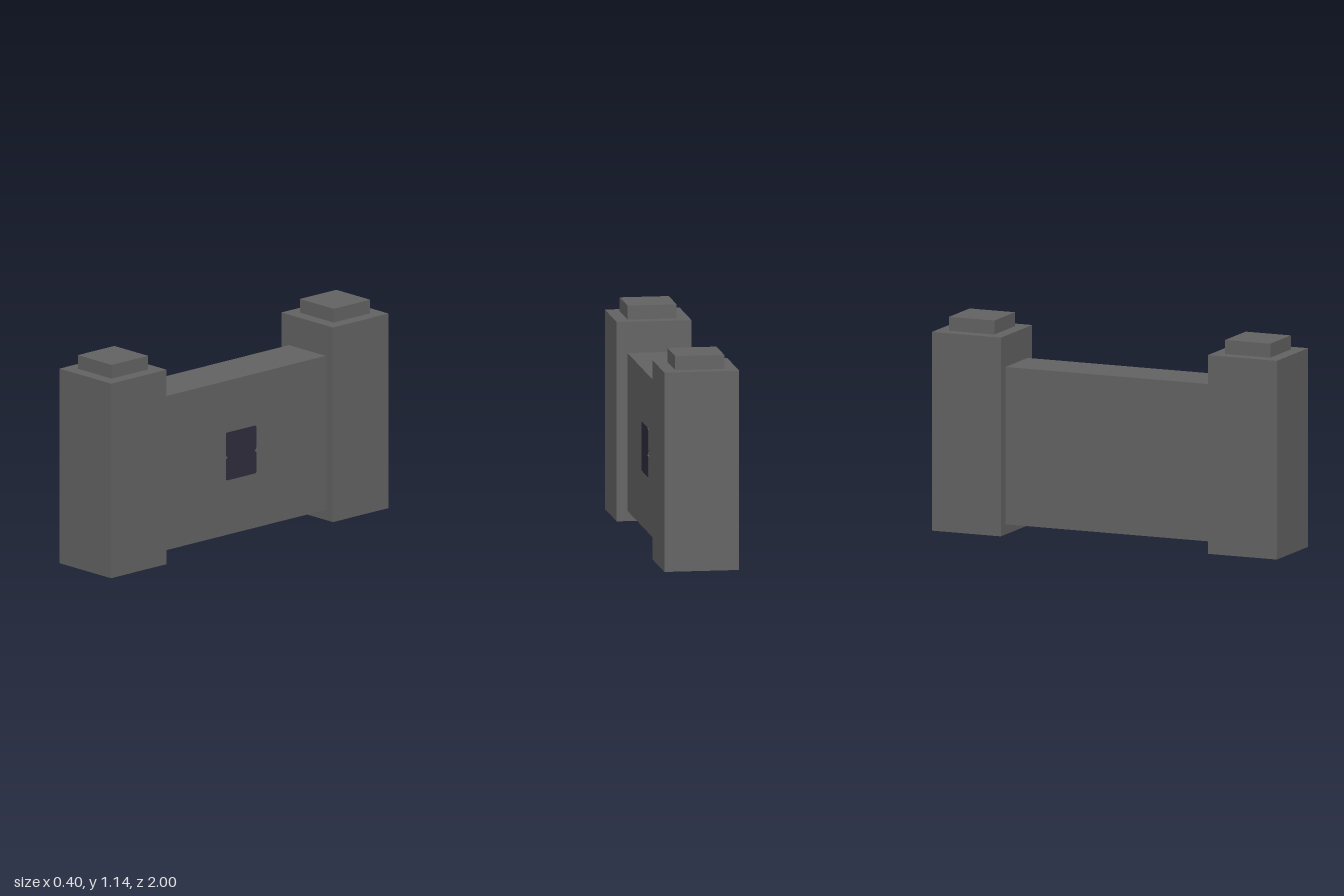
import * as THREE from 'three';

export function createModel() {
  const stone = new THREE.MeshStandardMaterial({ color: 0x626262 });
  stone.name = 'grey stone';
  const dark = new THREE.MeshStandardMaterial({ color: 0x2d2c3b });
  dark.name = 'dark slate';

  const model = new THREE.Group();
  model.name = 'wallSegment';

  // Box given by its size, bottom height and z centre
  const box = (name, w, h, d, y, z, parent) => {
    const mesh = new THREE.Mesh(new THREE.BoxGeometry(w, h, d), stone);
    mesh.name = name;
    mesh.position.set(0, y + h / 2, z);
    parent.add(mesh);
  };

  // Two end pillars, each with a smaller square cap
  for (const [name, s] of [['front', 1], ['back', -1]]) {
    const post = new THREE.Group();
    post.name = name + 'Post';
    box(name + 'Pillar', 0.4, 1.067, 0.4, 0, 0.8 * s, post);
    box(name + 'Cap', 0.262, 0.075, 0.262, 1.067, 0.8 * s, post);
    model.add(post);
  }

  // Raised wall panel between the pillars
  box('wallPanel', 0.284, 0.845, 1.2, 0.055, 0, model);

  // Thin plaque on the +x face: rounded corners, pinched at the waist
  const w = 0.109, top = 0.131, r = 0.012;
  const outline = new THREE.Shape();
  outline.moveTo(-w + r, -top);
  outline.lineTo(w - r, -top);
  outline.quadraticCurveTo(w, -top, w, -top + r);
  outline.lineTo(w, -0.022);
  outline.quadraticCurveTo(w, -0.012, w - 0.014, -0.008);
  outline.quadraticCurveTo(w, 0.004, w, 0.02);
  outline.lineTo(w, top - r);
  outline.quadraticCurveTo(w, top, w - r, top);
  outline.lineTo(-w + r, top);
  outline.quadraticCurveTo(-w, top, -w, top - r);
  outline.lineTo(-w, 0.02);
  outline.quadraticCurveTo(-w, 0.004, -w + 0.014, -0.008);
  outline.quadraticCurveTo(-w, -0.012, -w, -0.022);
  outline.lineTo(-w, -top + r);
  outline.quadraticCurveTo(-w, -top, -w + r, -top);
  const plaque = new THREE.Mesh(
    new THREE.ExtrudeGeometry(outline, { depth: 0.004, bevelEnabled: false, curveSegments: 4 }), dark);
  plaque.name = 'plaque';
  plaque.rotation.y = Math.PI / 2;
  plaque.position.set(0.141, 0.485, 0.01);
  model.add(plaque);

  return model;
}
